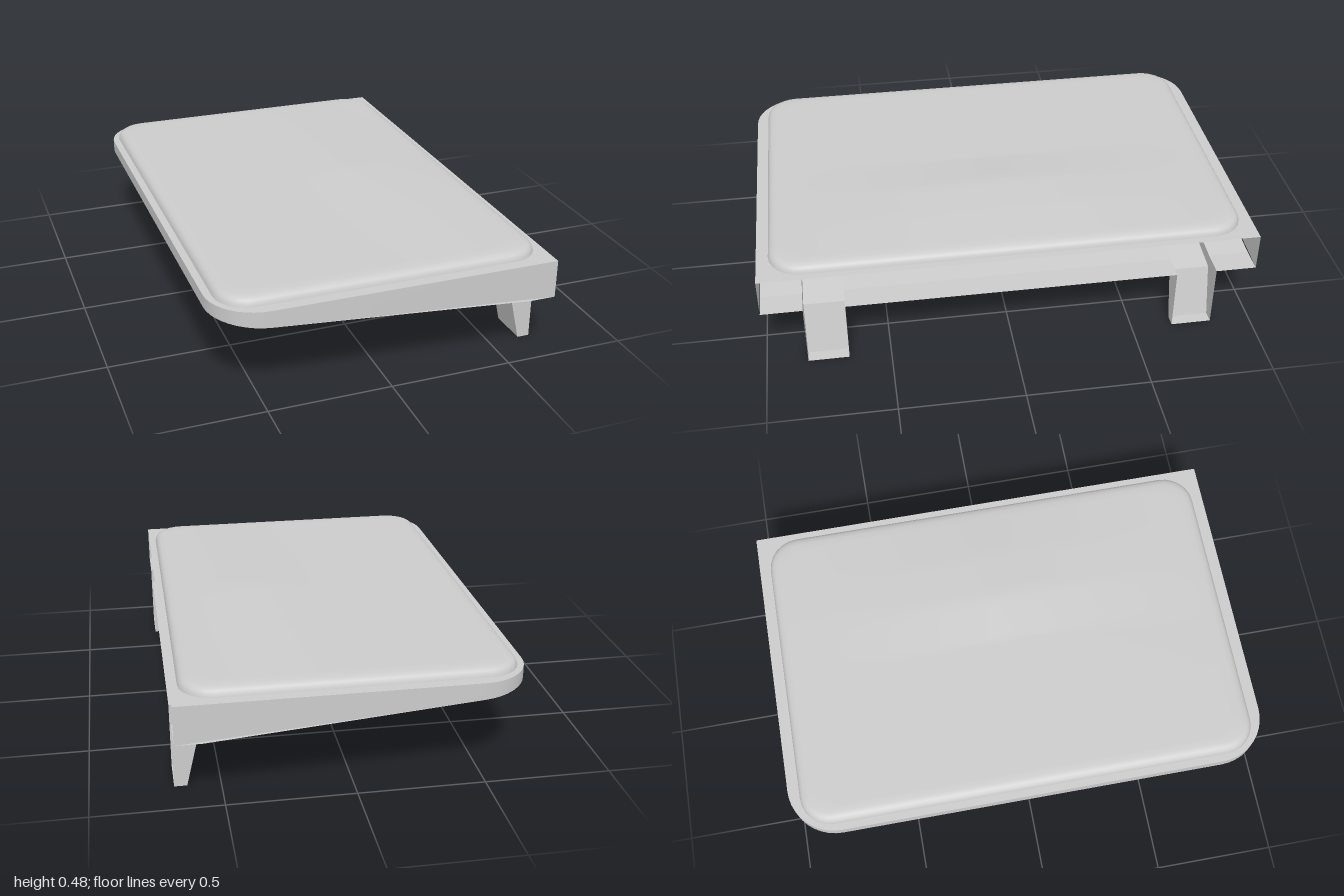
import * as THREE from 'three';
import { toCreasedNormals } from 'three/addons/utils/BufferGeometryUtils.js';

const X = 0.68, Z = 1, TOP = 0.422, BEND = 0.575;
const SLOT = { x: -0.37, inner: 0.67, outer: 0.835 };

const material = new THREE.MeshStandardMaterial({ color: 0xcccccc, side: THREE.DoubleSide });

// height of the sloping underside, level near the open end
const floorY = (x) => 0.37 - 0.105 * Math.min(1, (x + X) / (BEND + X));

// swelling of the pad surface, highest along its middle
function padY(x, z) {
  const lerp = THREE.MathUtils.mapLinear;
  let f = 0;
  if (x > 0.4) f = lerp(Math.min(x, 0.62), 0.4, 0.62, 0.018, 0);
  else if (x > 0.2) f = lerp(x, 0.2, 0.4, 0.023, 0.018);
  else if (x > 0) f = lerp(x, 0, 0.2, 0.002, 0.023);
  else f = lerp(Math.max(x, -0.62), -0.62, 0, 0, 0.002);
  return 0.456 + f * Math.max(0, 1 - Math.abs(z) / 0.92);
}

// surface through rows of equally many points
function loft(rows) {
  const n = rows[0].length, index = [];
  for (let r = 0; r < rows.length - 1; r++) {
    for (let i = 0; i < n - 1; i++) {
      const a = r * n + i, b = a + n;
      index.push(a, a + 1, b, b, a + 1, b + 1);
    }
  }
  const g = new THREE.BufferGeometry();
  g.setAttribute('position', new THREE.Float32BufferAttribute(rows.flat(2), 3));
  g.setIndex(index);
  g.computeVertexNormals();
  return g;
}

// flat outline in x and z, lifted to a height rule and facing up or down
function plate(shape, height, up) {
  const g = new THREE.ShapeGeometry(shape, 10);
  const p = g.attributes.position;
  for (let i = 0; i < p.count; i++) p.setXYZ(i, p.getX(i), height(p.getX(i)), p.getY(i));
  if (up) g.setIndex(Array.from(g.index.array).reverse());
  g.computeVertexNormals();
  return g;
}

function add(group, name, geometry) {
  const mesh = new THREE.Mesh(geometry, material);
  mesh.name = name;
  group.add(mesh);
  return mesh;
}

// body outline, running from one open-end corner round to the other
function bodyOutline() {
  const pts = [[X, -Z]], r = 0.2;
  for (let i = 0; i <= 10; i++) {
    const a = (i / 10) * Math.PI / 2;
    pts.push([-X + r - r * Math.sin(a), -Z + r - r * Math.cos(a)]);
  }
  const mirrored = pts.map(([x, z]) => [x, -z]).reverse();
  return pts.concat(mirrored);
}

// closed rounded rectangle with subdivided straight sides
function padOutline(w, d, r) {
  const pts = [];
  const corners = [[1, 1], [-1, 1], [-1, -1], [1, -1]];
  corners.forEach(([sx, sz], k) => {
    for (let i = 0; i <= 6; i++) {
      const a = (k + i / 6) * Math.PI / 2;
      pts.push([sx * (w - r) + r * Math.cos(a), sz * (d - r) + r * Math.sin(a)]);
    }
    const [nx, nz] = corners[(k + 1) % 4];
    const a = (k + 1) * Math.PI / 2;
    const end = [nx * (w - r) + r * Math.cos(a), nz * (d - r) + r * Math.sin(a)];
    const start = pts[pts.length - 1];
    for (let i = 1; i < 14; i++) {
      pts.push([0, 1].map((c) => start[c] + (end[c] - start[c]) * i / 14));
    }
  });
  pts.push([...pts[0]]);
  return pts;
}

const toShape = (pts) => new THREE.Shape(pts.map(([x, z]) => new THREE.Vector2(x, z)));

export function createModel() {
  const model = new THREE.Group();
  model.name = 'paddedPlatform';
  const outline = bodyOutline();

  // hollow wedge body, open at its thick end
  const body = new THREE.Group();
  body.name = 'body';
  model.add(body);
  const wall = loft([outline.map(([x, z]) => [x, TOP, z]), outline.map(([x, z]) => [x, floorY(x), z])]);
  add(body, 'sideWall', toCreasedNormals(wall, 0.6));

  const rim = toShape(outline);
  rim.holes.push(new THREE.Path(padOutline(0.65, 0.953, 0.13).slice(0, -1).map(([x, z]) => new THREE.Vector2(x, z))));
  add(body, 'topRim', plate(rim, () => TOP, true));

  // sloping floor, notched where the legs are let in
  const notch = (s) => [[BEND, s * SLOT.outer], [SLOT.x, s * SLOT.outer], [SLOT.x, s * SLOT.inner], [BEND, s * SLOT.inner]];
  const slope = [[BEND, -Z], ...outline.slice(1, -1), [BEND, Z], ...notch(1), ...notch(-1).reverse()];
  add(body, 'slopingFloor', plate(toShape(slope), floorY, false));

  // level strips of floor between the legs at the open end
  const strips = [[-Z, -SLOT.outer], [-SLOT.inner, SLOT.inner], [SLOT.outer, Z]];
  for (const [a, b] of strips) {
    const strip = toShape([[BEND, a], [X, a], [X, b], [BEND, b]]);
    add(body, 'levelFloor', plate(strip, floorY, false));
  }

  // hollow channel legs with open backs
  const sole = [[SLOT.x, floorY(SLOT.x)], [0.58, 0.212], [0.63, 0], [X, 0]];
  for (const s of [1, -1]) {
    const leg = new THREE.Group();
    leg.name = s > 0 ? 'frontLeg' : 'backLeg';
    model.add(leg);
    const za = s * SLOT.inner, zb = s * SLOT.outer;
    const face = loft([sole.map(([x, y]) => [x, y, za]), sole.map(([x, y]) => [x, y, zb])]);
    add(leg, 'legFace', toCreasedNormals(face, 0.1));
    const cheek = toShape([...sole, [X, floorY(X)], [BEND, floorY(BEND)]]);
    for (const z of [za, zb]) add(leg, 'legCheek', new THREE.ShapeGeometry(cheek)).position.z = z;
  }

  // rounded pad edge, then rings closing in over the swelling top
  const rows = [];
  for (const [inset, y] of [[0, TOP], [0.003, 0.434], [0.01, 0.445], [0.021, 0.452]]) {
    rows.push(padOutline(0.65 - inset, 0.953 - inset, 0.13 - inset).map(([x, z]) => [x, y, z]));
  }
  const inner = padOutline(0.61, 0.913, 0.09);
  for (let i = 20; i >= 0; i--) {
    const t = i / 20;
    rows.push(inner.map(([x, z]) => [x * t, padY(x * t, z * t), z * t]));
  }
  add(model, 'pad', toCreasedNormals(loft(rows), 0.8));
  return model;
}
